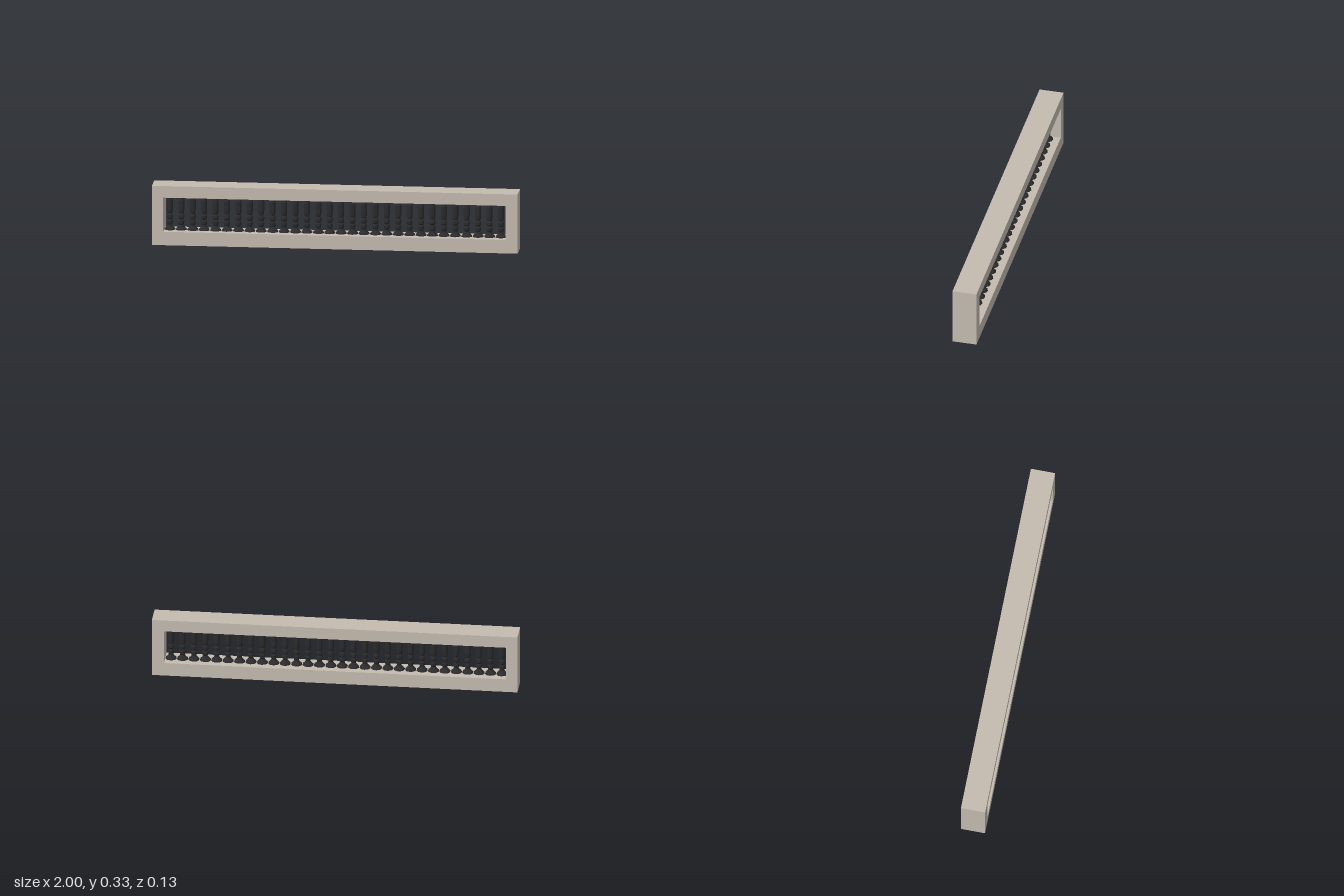
import * as THREE from 'three';

const stone = new THREE.MeshStandardMaterial({ color: 0xc4bbb0 });
stone.name = 'warm stone';
const iron = new THREE.MeshStandardMaterial({ color: 0x2b2b2d, flatShading: true });
iron.name = 'dark iron';

const DEPTH = 0.134;
const OPENING = { left: -0.938, right: 0.934, bottom: 0.075, top: 0.265 };
const COUNT = 30;
const FIRST = -0.908;
const LAST = 0.902;

// Rectangle corners as a closed outline
function rectangle(target, left, right, bottom, top) {
  target.moveTo(left, bottom);
  target.lineTo(right, bottom);
  target.lineTo(right, top);
  target.lineTo(left, top);
  target.closePath();
  return target;
}

// Rectangular surround with a long opening
function createFrame() {
  const outline = rectangle(new THREE.Shape(), -1, 1, 0, 0.33);
  const { left, right, bottom, top } = OPENING;
  outline.holes.push(rectangle(new THREE.Path(), left, right, bottom, top));
  const geometry = new THREE.ExtrudeGeometry(outline, { depth: DEPTH, bevelEnabled: false });
  geometry.translate(0, 0, -DEPTH / 2);
  const frame = new THREE.Mesh(geometry, stone);
  frame.name = 'frame';
  return frame;
}

// Turned profile: flared foot, neck, beads, shaft and tapered top
function createBalusterGeometry() {
  const profile = [
    [0, 0.075], [0.031, 0.075], [0.029, 0.081], [0.018, 0.092], [0.012, 0.102],
    [0.016, 0.11], [0.017, 0.124], [0.012, 0.134],
    [0.017, 0.142], [0.017, 0.156], [0.012, 0.166],
    [0.015, 0.173], [0.017, 0.19], [0.017, 0.238], [0.014, 0.25], [0.014, 0.265], [0, 0.265],
  ].map(([r, y]) => new THREE.Vector2(r, y));
  return new THREE.LatheGeometry(profile, 10);
}

export function createModel() {
  const model = new THREE.Group();
  model.name = 'balustrade';
  model.add(createFrame());

  // Evenly spaced row of balusters
  const row = new THREE.Group();
  row.name = 'balusters';
  const geometry = createBalusterGeometry();
  for (let i = 0; i < COUNT; i++) {
    const baluster = new THREE.Mesh(geometry, iron);
    baluster.name = `baluster${i + 1}`;
    baluster.position.x = THREE.MathUtils.lerp(FIRST, LAST, i / (COUNT - 1));
    row.add(baluster);
  }
  model.add(row);
  return model;
}
